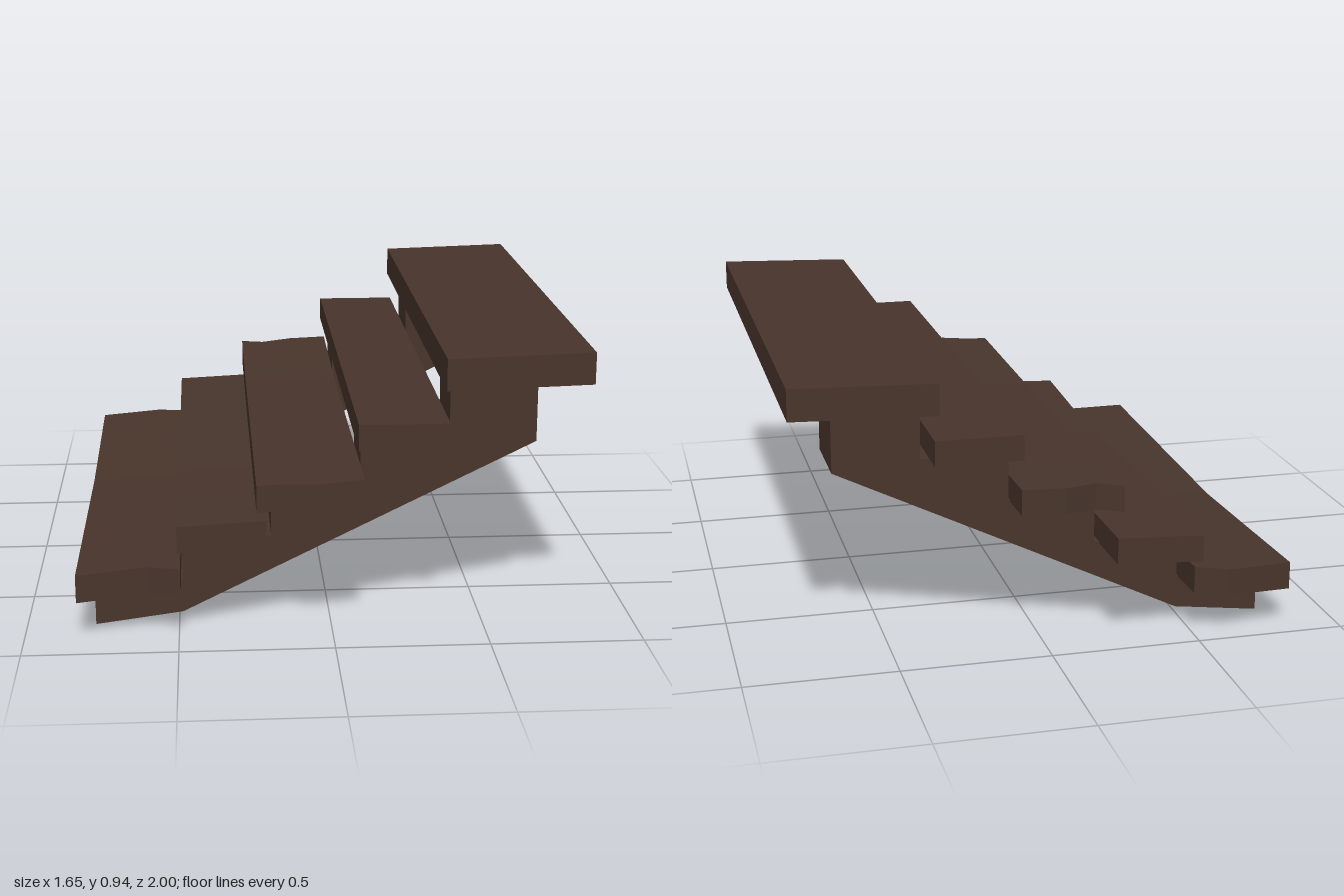
import * as THREE from 'three';

const wood = new THREE.MeshStandardMaterial({ color: 0x48352c });
wood.name = 'dark wood';

// Interpolate y in a list of [x, y] pairs
function lerpList(list, x) {
  for (let i = 1; i < list.length; i++) {
    const [x0, y0] = list[i - 1], [x1, y1] = list[i];
    if (x <= x1 || i === list.length - 1) return y0 + (y1 - y0) * (x - x0) / (x1 - x0);
  }
}

// Plank: xs are plan columns, front/back the z of each end per column,
// left/right are [bottom, top] heights, sag lists [z, drop] stations.
function plank({ xs, front, back, left, right, sag = [[-1, 0], [1, 0]] }) {
  const nx = xs.length - 1, nz = sag.length - 1;
  const box = new THREE.BoxGeometry(nx, 1, nz, nx, 1, nz);
  const p = box.attributes.position;
  for (let i = 0; i < p.count; i++) {
    const c = Math.round(p.getX(i) + nx / 2);
    const k = Math.round(p.getZ(i) + nz / 2);
    const side = p.getY(i) > 0 ? 1 : 0;
    const t = (xs[c] - xs[0]) / (xs[nx] - xs[0]);
    const z = k === 0 ? back[c] : k === nz ? front[c] : sag[k][0];
    const y = left[side] + (right[side] - left[side]) * t - sag[k][1];
    p.setXYZ(i, xs[c], y, z);
  }
  const geo = box.toNonIndexed();
  geo.computeVertexNormals();
  return geo;
}

export function createModel() {
  const model = new THREE.Group();
  model.name = 'woodenStairs';
  const add = (name, geo) => {
    const mesh = new THREE.Mesh(geo, wood);
    mesh.name = name;
    model.add(mesh);
    return mesh;
  };

  // Saw-tooth stringers carrying the treads
  const outline = [
    [-0.775, 0], [-0.487, 0.038], [0.672, 0.605], [0.672, 0.79], [0.387, 0.79],
    [0.387, 0.632], [0.097, 0.612], [0.097, 0.47], [-0.195, 0.45], [-0.195, 0.298],
    [-0.487, 0.28], [-0.487, 0.15], [-0.775, 0.13],
  ].map(([x, y]) => new THREE.Vector2(x, y));
  const stringer = new THREE.ExtrudeGeometry(new THREE.Shape(outline), { depth: 0.255, bevelEnabled: false });
  add('frontStringer', stringer).position.z = 0.5;
  add('backStringer', stringer).position.z = -0.795;

  // Five uneven treads, lowest first; the lower three sag
  const treads = [
    {
      xs: [-0.827, -0.6, -0.493], front: [0.903, 0.865, 0.903], back: [-0.953, -0.988, -0.953],
      left: [0.135, 0.228], right: [0.152, 0.243],
      sag: [[-0.95, 0], [-0.55, 0.016], [-0.17, 0.03], [0.4, 0.014], [0.9, 0]],
    },
    {
      xs: [-0.503, -0.213], front: [0.857, 0.857], back: [-1, -1],
      left: [0.28, 0.37], right: [0.296, 0.384],
      sag: [[-1, 0], [-0.45, 0.012], [0.2, 0.024], [0.53, 0.018], [0.86, 0]],
    },
    {
      xs: [-0.248, -0.165, -0.05, 0.092], front: [0.97, 0.97, 0.995, 0.97], back: [-0.945, -0.91, -0.947, -0.947],
      left: [0.452, 0.541], right: [0.469, 0.555],
      sag: [[-0.94, 0], [-0.6, 0.013], [-0.36, 0.018], [0.3, 0.01], [0.97, 0]],
    },
    {
      xs: [0.075, 0.363], front: [0.945, 0.945], back: [-0.91, -0.91],
      left: [0.64, 0.725], right: [0.64, 0.725],
    },
    {
      xs: [0.355, 0.825], front: [0.903, 0.903], back: [-0.95, -0.95],
      left: [0.818, 0.922], right: [0.832, 0.936],
    },
  ];
  treads.forEach((t, i) => add(`tread${i + 1}`, plank(t)));

  return model;
}
